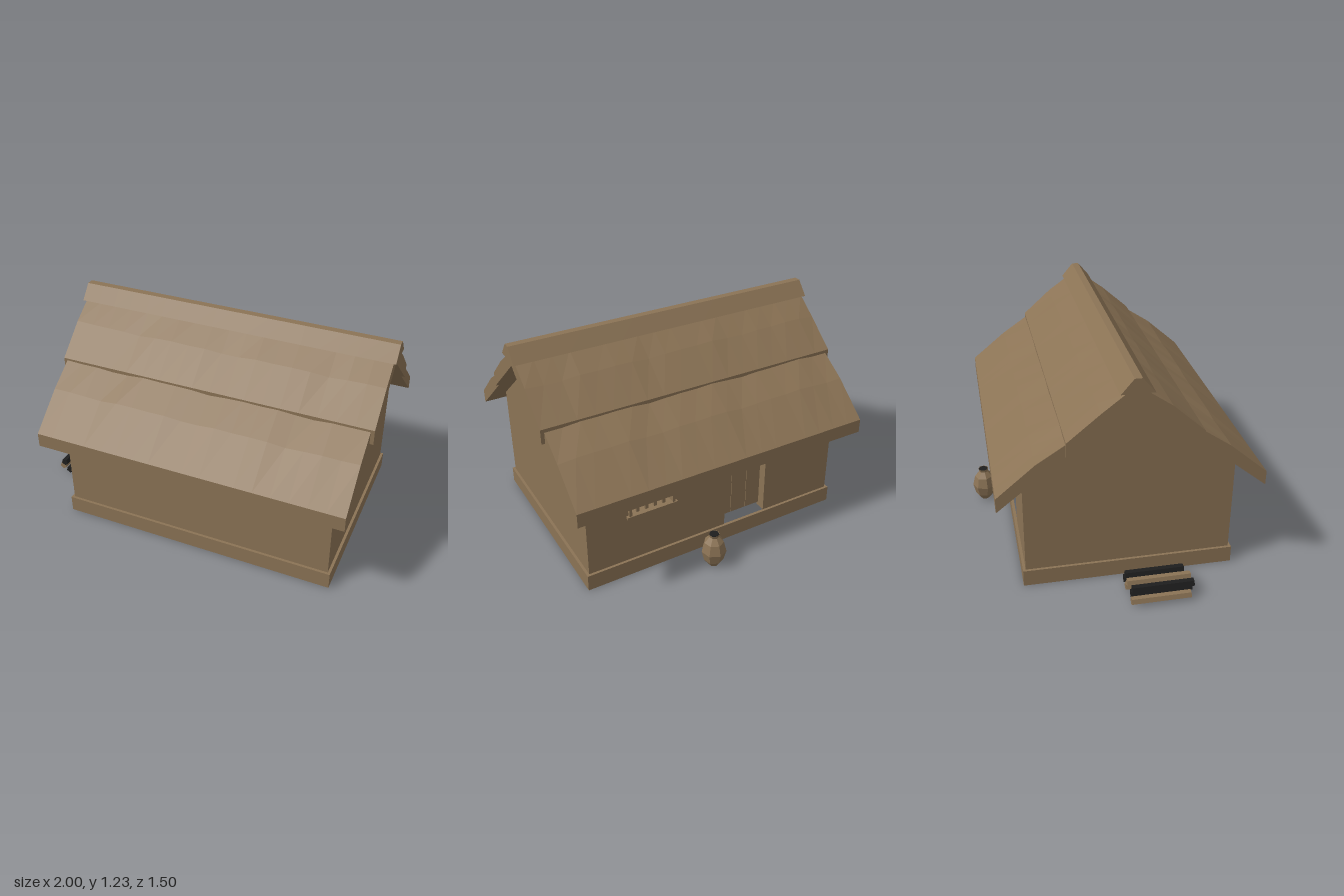
import * as THREE from 'three';

export function createModel() {
  const model = new THREE.Group();
  const brown = new THREE.MeshStandardMaterial({ color: 0x8b7355, side: THREE.DoubleSide });
  brown.name = 'brown clay and thatch';
  const black = new THREE.MeshStandardMaterial({ color: 0x1e1e1e, side: THREE.DoubleSide });
  black.name = 'charred black';

  const X0 = -0.7, X1 = 0.87, Z0 = -0.52, Z1 = 0.61, ZC = 0.045, XC = 0.085;
  const BASE = 0.095, EAVE = 0.65, APEX = 1.107;

  const add = (name, geometry, material = brown, parent = model) => {
    const mesh = new THREE.Mesh(geometry, material);
    mesh.name = name;
    parent.add(mesh);
    return mesh;
  };
  // Box given by its lowest and highest corners
  const box = (name, a, b, material = brown) => {
    const m = add(name, new THREE.BoxGeometry(b[0] - a[0], b[1] - a[1], b[2] - a[2]), material);
    m.position.set((a[0] + b[0]) / 2, (a[1] + b[1]) / 2, (a[2] + b[2]) / 2);
    return m;
  };
  const polygon = (pts) => new THREE.Shape(pts.map(([x, y]) => new THREE.Vector2(x, y)));
  const rect = (x0, y0, x1, y1) => [[x0, y0], [x1, y0], [x1, y1], [x0, y1]];

  // Hollow plinth: thin skirt with a ledge reaching the walls
  const ring = (name, inset, height, y) => {
    const s = polygon(rect(-0.8, -0.58, 0.8, 0.58));
    s.holes.push(polygon(rect(-0.8 + inset, -0.58 + inset, 0.8 - inset, 0.58 - inset)));
    const g = new THREE.ExtrudeGeometry(s, { depth: height, bevelEnabled: false });
    g.rotateX(-Math.PI / 2);
    add(name, g).position.set(XC, y, ZC);
  };
  ring('plinthSkirt', 0.003, BASE, 0);
  ring('plinthLedge', 0.017, 0.003, BASE - 0.003);

  // Thin walls, open underneath
  const door = { x0: -0.245, x1: 0.028, top: 0.635 };
  const win = { x0: 0.36, x1: 0.62, y0: 0.39, y1: 0.535 };
  add('frontWall', new THREE.ShapeGeometry(polygon(rect(X0, BASE, X1, EAVE)))).position.z = Z1;
  const back = polygon([[X0, BASE], [door.x0, BASE], [door.x0, door.top], [door.x1, door.top],
    [door.x1, BASE], [X1, BASE], [X1, EAVE], [X0, EAVE]]);
  back.holes.push(polygon(rect(win.x0, win.y0, win.x1, win.y1)));
  add('backWall', new THREE.ShapeGeometry(back)).position.z = Z0;
  const half = (Z1 - Z0) / 2;
  for (const [name, x, turn] of [['leftGable', X1, 1], ['rightGable', X0, -1]]) {
    const g = new THREE.ShapeGeometry(
      polygon([[-half, BASE], [half, BASE], [half, EAVE], [0, APEX], [-half, EAVE]]));
    g.rotateY(turn * Math.PI / 2);
    add(name, g).position.set(x, 0, ZC);
  }

  // Recessed plank door with a dark gap above it
  for (const [name, x] of [['doorJambLeft', door.x1], ['doorJambRight', door.x0]])
    box(name, [x - 0.002, BASE, Z0], [x + 0.002, door.top, Z0 + 0.065]);
  const planks = [[door.x0 + 0.003, -0.15], [-0.147, -0.05], [-0.047, door.x1 - 0.003]];
  for (const [a, b] of planks) box('doorPlank', [a, 0.12, Z0 + 0.05], [b, 0.5, Z0 + 0.065]);
  box('doorHeader', [door.x0, 0.5, Z0 + 0.055], [door.x1, door.top, Z0 + 0.06], black);

  // Barred window with sill, side trims and dark lintel
  box('windowRecess', [win.x0, win.y0, Z0 + 0.04], [win.x1, win.y1, Z0 + 0.045], black);
  for (const x of [win.x0, win.x1])
    box('windowTrim', [x - 0.008, win.y0, Z0 - 0.015], [x + 0.008, win.y1, Z0 + 0.04]);
  box('windowSill', [win.x0 - 0.02, win.y0 - 0.015, Z0 - 0.02], [win.x1 + 0.02, win.y0, Z0 + 0.04]);
  box('windowLintel', [win.x0 - 0.01, win.y1, Z0 - 0.013], [win.x1 + 0.01, win.y1 + 0.04, Z0 + 0.01], black);
  for (let i = 1; i <= 4; i++) {
    const x = win.x0 + (win.x1 - win.x0) * i / 5;
    box('windowBar', [x - 0.009, win.y0, Z0 + 0.005], [x + 0.009, win.y1, Z0 + 0.02]);
  }

  // Thatch: cross-sections run along x, their upper skin gently uneven
  const under = (d) => 1.11 - 0.81 * Math.abs(d);
  const thatch = (name, pts, x0, x1, wave = null) => {
    const g = new THREE.ExtrudeGeometry(polygon(pts), { depth: x1 - x0, steps: 18, bevelEnabled: false });
    g.rotateY(Math.PI / 2);
    const p = g.attributes.position;
    for (let i = 0; wave && i < p.count; i++) {
      const x = p.getX(i), y = p.getY(i), d = p.getZ(i), a = Math.abs(d);
      if (a > wave[0] && a < wave[1] && y > under(d) + 0.03)
        p.setY(i, y + 0.004 * Math.sin(11 * x + 4 * d) + 0.003 * Math.sin(23 * x + 9 * d));
    }
    g.computeVertexNormals();
    add(name, g).position.set(x0, 0, ZC);
  };
  for (const s of [1, -1]) {
    const lower = [[0.275, under(0.275)], [0.705, under(0.705)], [0.705, 0.62], [0.5, 0.795],
      [0.35, 0.895], [0.275, 0.92]];
    thatch(s < 0 ? 'lowerThatchFront' : 'lowerThatchBack', lower.map(([d, y]) => [s * d, y]),
      -0.79, 0.965, [0.3, 0.6]);
  }
  const side = [[0.35, under(0.35)], [0.35, 0.91], [0.18, 1.058], [0.055, 1.15]];
  thatch('upperThatch', [[0, 1.11], ...side,
    ...side.slice().reverse().map(([d, y]) => [-d, y])], -0.81, 0.985, [0.1, 0.3]);
  thatch('ridgeCap', [[-0.087, 1.15], [0.087, 1.15], [0.02, 1.23], [-0.02, 1.23]], -0.82, 1);

  // Stacked firewood, alternating fresh and charred
  const logs = [[-0.977, 0.03], [-0.917, 0.03], [-0.855, 0.03], [-0.792, 0.03],
    [-0.948, 0.08], [-0.887, 0.08], [-0.823, 0.08]];
  logs.forEach(([x, y], i) => {
    const dark = i < 4 ? i % 2 === 1 : i % 2 === 0;
    const g = new THREE.CylinderGeometry(0.023, 0.023, 0.32 + 0.012 * (i % 3), 5).toNonIndexed();
    g.rotateX(Math.PI / 2);
    g.computeVertexNormals();
    add('log', g, dark ? black : brown).position.set(x, y, 0.165 + 0.008 * ((i * 2) % 3 - 1));
  });

  // Faceted water jar with a dark mouth
  const jar = new THREE.Group();
  jar.name = 'waterJar';
  jar.position.set(0.195, 0, -0.68);
  jar.rotation.y = Math.PI;
  model.add(jar);
  const profile = [[0, 0], [0.03, 0], [0.055, 0.035], [0.07, 0.095], [0.055, 0.155], [0.026, 0.188], [0.031, 0.207]];
  const body = new THREE.LatheGeometry(profile.map(([r, y]) => new THREE.Vector2(r, y)), 7).toNonIndexed();
  body.computeVertexNormals();
  add('jarBody', body, brown, jar);
  add('jarMouth', new THREE.CylinderGeometry(0.028, 0.028, 0.004, 7), black, jar).position.y = 0.204;

  return model;
}
